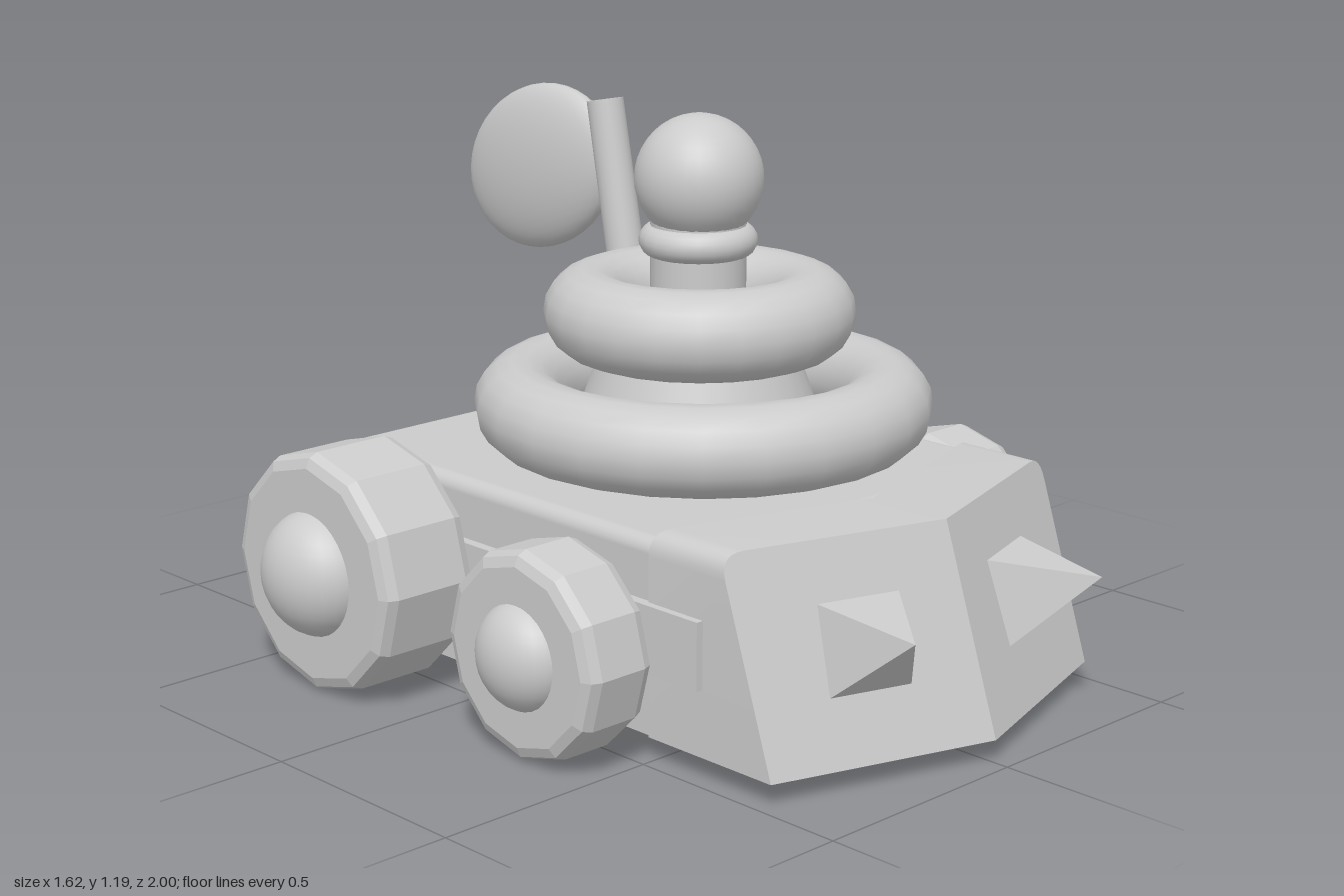
import * as THREE from 'three';
import { RoundedBoxGeometry } from 'three/addons/geometries/RoundedBoxGeometry.js';
import { toCreasedNormals } from 'three/addons/utils/BufferGeometryUtils.js';

const smooth = new THREE.MeshStandardMaterial({ color: 0xcccccc });
const faceted = new THREE.MeshStandardMaterial({ color: 0xcccccc, flatShading: true });

function add(parent, name, geometry, x = 0, y = 0, z = 0, material = smooth) {
  const mesh = new THREE.Mesh(geometry, material);
  mesh.name = name;
  mesh.position.set(x, y, z);
  parent.add(mesh);
  return mesh;
}

// Height of the sloped, pointed nose surface along z
const noseZ = (x, y) => 0.97 - 0.333 * (y - 0.05) - 0.315 * Math.abs(x);

// One half of the chevron nose: rounded outline, swept back and sloped
function noseHalf(side) {
  const w = 0.476, r = 0.05, top = 0.47;
  const s = new THREE.Shape();
  s.moveTo(0, 0.05);
  s.lineTo(side * w, 0.05);
  s.lineTo(side * w, top - r);
  s.quadraticCurveTo(side * w, top, side * (w - r), top);
  s.lineTo(0, top);
  const g = new THREE.ExtrudeGeometry(s, { depth: 1, bevelEnabled: false, curveSegments: 6 });
  const p = g.attributes.position;
  for (let i = 0; i < p.count; i++) {
    const x = p.getX(i), y = p.getY(i);
    p.setZ(i, p.getZ(i) > 0.5 ? noseZ(x, y) : 0.64 - 0.315 * Math.abs(x));
  }
  return toCreasedNormals(g, 0.6);
}

// Twelve-sided wheel with rounded rims and a domed hub
function wheel(name, side, y, z, r, inner, outer, hubR, hubEnd) {
  const g = new THREE.Group();
  g.name = name;
  const w = outer - inner, b = 0.03;
  const profile = [[0, 0], [r - b, 0], [r - b * 0.3, b * 0.3], [r, b],
    [r, w - b], [r - b * 0.3, w - b * 0.3], [r - b, w], [0, w]]
    .map(([px, py]) => new THREE.Vector2(px, py));
  const tyre = add(g, 'tyre', new THREE.LatheGeometry(profile, 12), 0, 0, 0, faceted);
  tyre.position.x = side * inner;
  tyre.rotation.z = -side * Math.PI / 2;
  const cx = outer - 0.025;
  add(g, 'hub', new THREE.SphereGeometry(hubR, 28, 18), side * cx).scale.x = (hubEnd - cx) / hubR;
  const axle = add(g, 'axle', new THREE.CylinderGeometry(0.06, 0.06, 0.1, 16), side * (inner - 0.03));
  axle.rotation.z = Math.PI / 2;
  g.position.set(0, y, z);
  return g;
}

function torus(parent, name, outer, tube, x, y, z) {
  const g = new THREE.TorusGeometry(outer - tube, tube, 18, 24);
  g.rotateX(Math.PI / 2);
  return add(parent, name, g, x, y, z);
}

export function createModel() {
  const model = new THREE.Group();
  model.name = 'ringStackCar';

  // Chassis: lower tub, rounded deck, belt strip
  add(model, 'lowerBody', new THREE.BoxGeometry(0.944, 0.21, 1.1), 0, 0.157, 0.06);
  add(model, 'deck', new RoundedBoxGeometry(0.94, 0.25, 1.1, 3, 0.03), 0, 0.327, 0.065);
  add(model, 'beltStrip', new THREE.BoxGeometry(0.984, 0.14, 1.15), 0, 0.258, 0.063);

  // Mirrored nose halves and spikes
  for (const side of [1, -1]) {
    const label = side > 0 ? 'left' : 'right';
    add(model, label + 'Nose', noseHalf(side));
    const cone = new THREE.ConeGeometry(0.134, 0.2, 4);
    cone.rotateY(Math.PI / 4).rotateX(Math.PI / 2).translate(0, 0, 0.09);
    const x = side * 0.227, y = 0.268;
    const spike = add(model, label + 'Spike', cone, x, y, noseZ(x, y), faceted);
    spike.lookAt(spike.position.clone().add(new THREE.Vector3(side * 0.315, 0.333, 1)));

    model.add(wheel(label + 'RearWheel', side, 0.26, -0.26, 0.257, 0.49, 0.725, 0.135, 0.812));
    model.add(wheel(label + 'FrontWheel', side, 0.221, 0.327, 0.215, 0.505, 0.675, 0.112, 0.737));
  }

  // Stacked rings on a tapered post, topped by a ball
  const stack = new THREE.Group();
  stack.name = 'ringStack';
  stack.position.z = 0.158;
  model.add(stack);
  add(stack, 'postBase', new THREE.CylinderGeometry(0.2, 0.3, 0.28, 32), -0.012, 0.57);
  torus(stack, 'lowerRing', 0.482, 0.094, 0.002, 0.577, 0);
  torus(stack, 'upperRing', 0.326, 0.094, -0.01, 0.774, 0);
  add(stack, 'neck', new THREE.CylinderGeometry(0.1, 0.1, 0.3, 24), -0.015, 0.82);
  torus(stack, 'collar', 0.124, 0.034, -0.015, 0.926, 0);
  add(stack, 'ball', new THREE.SphereGeometry(0.134, 32, 20), -0.017, 1.055, 0.004);

  // Leaning mast with an oval paddle behind it
  const low = new THREE.Vector3(0.357, 0.42, -0.392);
  const high = new THREE.Vector3(0.357, 1.1, -0.523);
  const mast = add(model, 'mast', new THREE.CylinderGeometry(0.043, 0.046, low.distanceTo(high), 20));
  mast.position.lerpVectors(low, high, 0.5);
  mast.quaternion.setFromUnitVectors(new THREE.Vector3(0, 1, 0), high.clone().sub(low).normalize());
  const paddle = add(model, 'paddle', new THREE.SphereGeometry(1, 32, 20), 0.36, 0.915, -0.748);
  paddle.scale.set(0.066, 0.192, 0.26);
  paddle.rotation.x = -0.38;

  return model;
}
